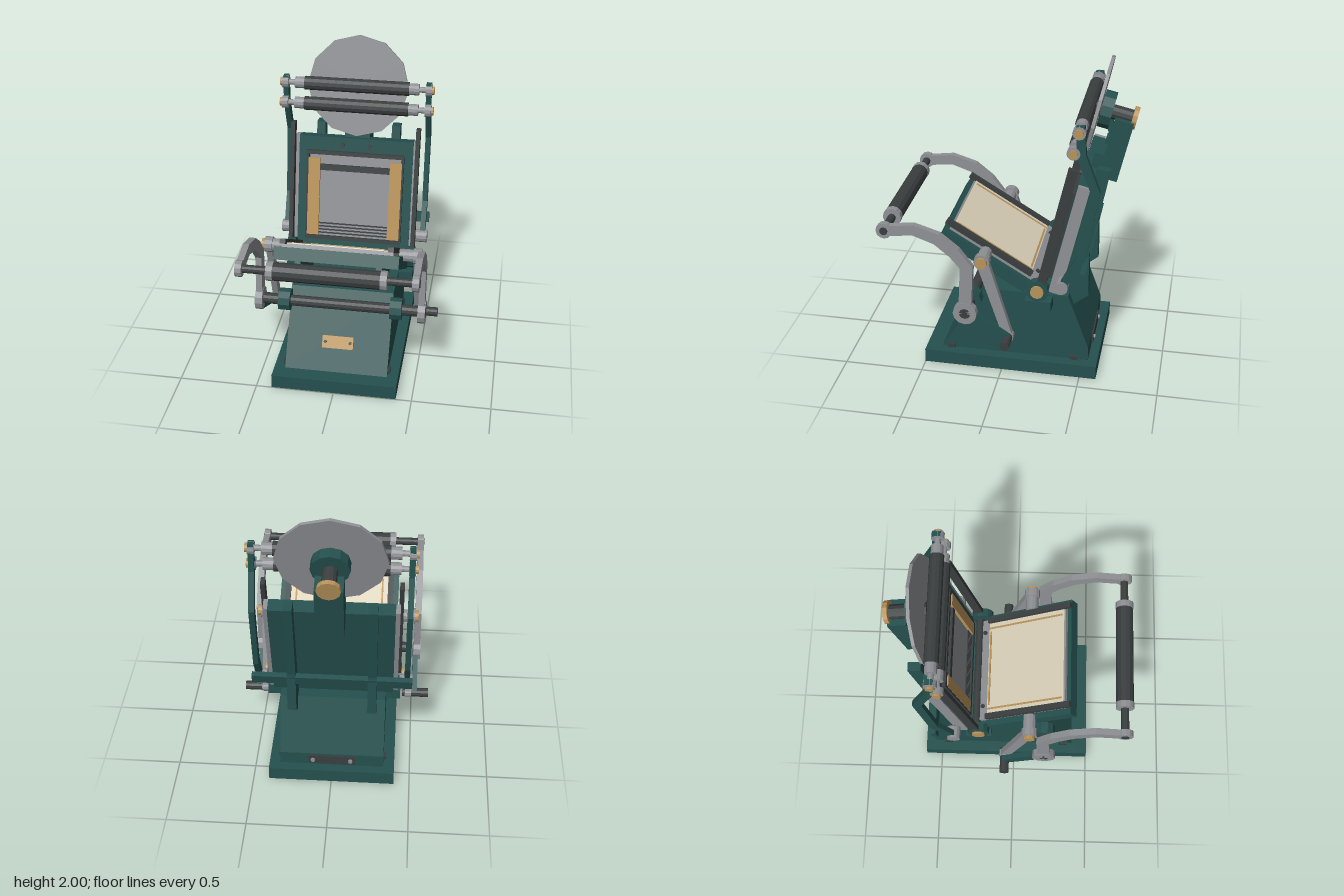
import * as THREE from 'three';

const mat = (name, color) => Object.assign(new THREE.MeshStandardMaterial({ color, flatShading: true }), { name });

export function createModel() {
  const green = mat('green enamel', 0x24504e);
  const dark = mat('dark iron', 0x3a3e3f);
  const steel = mat('steel', 0x8f9195);
  const brass = mat('brass', 0xb8935a);
  const cream = mat('cream paper', 0xdad1b9);

  const press = new THREE.Group();
  press.name = 'printingPress';

  const add = (parent, name, geo, material) => {
    const m = new THREE.Mesh(geo, material);
    m.name = name;
    parent.add(m);
    return m;
  };
  // box given by its limits on each axis
  const box = (parent, name, material, x0, x1, y0, y1, z0, z1) => {
    const m = add(parent, name, new THREE.BoxGeometry(Math.abs(x1 - x0), y1 - y0, z1 - z0), material);
    m.position.set((x0 + x1) / 2, (y0 + y1) / 2, (z0 + z1) / 2);
    return m;
  };
  // cylinder along x
  const rod = (parent, name, material, x0, x1, y, z, r, sides = 12) => {
    const m = add(parent, name, new THREE.CylinderGeometry(r, r, Math.abs(x1 - x0), sides), material);
    m.rotation.z = Math.PI / 2;
    m.position.set((x0 + x1) / 2, y, z);
    return m;
  };
  // cylinder along z
  const disc = (parent, name, material, x, y, z0, z1, r, sides = 12) => {
    const m = add(parent, name, new THREE.CylinderGeometry(r, r, z1 - z0, sides), material);
    m.rotation.x = Math.PI / 2;
    m.position.set(x, y, (z0 + z1) / 2);
    return m;
  };
  // side profile of [z, y] points, extruded from x0 to x1
  const slab = (parent, name, material, pts, x0, x1) => {
    const shape = new THREE.Shape(pts.map(([z, y]) => new THREE.Vector2(-z, y)));
    const geo = new THREE.ExtrudeGeometry(shape, { depth: Math.abs(x1 - x0), bevelEnabled: false });
    geo.rotateY(Math.PI / 2);
    geo.translate(Math.min(x0, x1), 0, 0);
    return add(parent, name, geo, material);
  };
  // flat bar following a [z, y] path, with a width at each point
  const bar = (parent, name, material, path, widths, x0, x1) => {
    const a = [], b = [];
    path.forEach(([z, y], i) => {
      const p = path[Math.max(i - 1, 0)], q = path[Math.min(i + 1, path.length - 1)];
      const len = Math.hypot(q[0] - p[0], q[1] - p[1]);
      const w = (widths[i] ?? widths[0]) / 2;
      const nz = -(q[1] - p[1]) / len * w, ny = (q[0] - p[0]) / len * w;
      a.push([z + nz, y + ny]);
      b.unshift([z - nz, y - ny]);
    });
    return slab(parent, name, material, [...a, ...b], x0, x1);
  };

  // base and body
  box(press, 'basePlate', green, -0.4, 0.4, 0, 0.09, -0.605, 0.5);
  slab(press, 'body', green,
    [[0.4, 0.09], [0.12, 0.545], [-0.41, 0.545], [-0.545, 0.18], [-0.545, 0.09]], -0.33, 0.33);
  const plate = new THREE.Group();
  plate.name = 'namePlate';
  plate.position.set(0, 0.255, 0.302);
  plate.rotation.x = -0.552;
  press.add(plate);
  box(plate, 'brassPlate', brass, -0.1, 0.1, -0.04, 0.04, 0, 0.018);
  for (const s of [-1, 1]) disc(plate, 'plateScrew', dark, s * 0.08, 0, 0.016, 0.024, 0.01, 8);
  box(press, 'rearPlate', dark, -0.15, 0.15, 0.105, 0.17, -0.555, -0.54);
  for (const s of [-1, 1]) {
    disc(press, 'rearScrew', steel, s * 0.12, 0.138, -0.567, -0.555, 0.014, 8);
    box(press, 'frontFoot', dark, s * 0.24, s * 0.36, -0.002, 0.01, 0.35, 0.46);
    for (const z of [0.34, -0.455]) box(press, 'bodyBolt', dark, s * 0.315, s * 0.345, 0.09, 0.115, z - 0.025, z + 0.025);
    box(press, 'hingeBlock', green, s * 0.33, s * 0.42, 0.475, 0.54, -0.315, -0.15);
    rod(press, 'hingeBoss', green, s * 0.37, s * 0.425, 0.615, -0.23, 0.07);
    rod(press, 'hingeCap', brass, s * 0.42, s * 0.44, 0.615, -0.23, 0.042);
  }
  rod(press, 'hingeShaft', dark, -0.4, 0.4, 0.615, -0.245, 0.026);

  // type bed, leaning back: local y runs up the bed, local z is its facing
  const bed = new THREE.Group();
  bed.name = 'typeBed';
  bed.position.set(0, 0.615, -0.23);
  bed.rotation.x = -0.226;
  press.add(bed);
  box(bed, 'bedBlock', green, -0.375, 0.375, 0, 0.755, -0.15, -0.06);
  box(bed, 'formPlate', steel, -0.3, 0.3, 0.08, 0.65, -0.06, -0.053);
  box(bed, 'chaseTop', dark, -0.315, 0.315, 0.64, 0.665, -0.06, -0.035);
  box(bed, 'chaseBottom', dark, -0.315, 0.315, 0.06, 0.085, -0.06, -0.035);
  box(bed, 'quoinBar', dark, -0.23, 0.23, 0.535, 0.575, -0.055, -0.038);
  for (let i = 0; i < 4; i++) box(bed, 'typeLine', dark, -0.23, 0.23, 0.1 + i * 0.022, 0.108 + i * 0.022, -0.055, -0.045);
  for (const s of [-1, 1]) {
    box(bed, 'chaseSide', dark, s * 0.305, s * 0.32, 0.06, 0.665, -0.06, -0.035);
    box(bed, 'furniture', brass, s * 0.23, s * 0.308, 0.09, 0.615, -0.055, -0.034);
    disc(bed, 'bedBolt', dark, s * 0.09, 0.705, -0.06, -0.045, 0.016, 8);
    box(bed, 'rollerRail', dark, s * 0.393, s * 0.42, 0.05, 0.858, -0.04, 0.017);
    box(bed, 'railBacking', steel, s * 0.375, s * 0.402, 0.01, 0.757, -0.138, -0.065);
    // back ribs, flaring into feet
    slab(press, 'backRib', green,
      [[-0.556, 1.40], [-0.635, 1.39], [-0.525, 0.82], [-0.53, 0.535], [-0.425, 0.45], [-0.33, 0.53], [-0.38, 0.7]],
      s * 0.22, s * 0.275);
  }
  box(bed, 'crossBar', green, -0.49, 0.49, 0.18, 0.245, -0.25, -0.215);

  // ink disc with its bearing
  disc(bed, 'inkDisc', steel, 0, 1.104, -0.06, -0.04, 0.327);
  disc(bed, 'discBolt', dark, 0, 1.104, -0.04, -0.028, 0.045);
  disc(bed, 'discHub', green, 0, 1.108, -0.135, -0.065, 0.115);
  disc(bed, 'discShaft', dark, 0, 1.104, -0.265, -0.06, 0.045);
  disc(bed, 'shaftCap', brass, 0, 1.104, -0.287, -0.258, 0.07);
  box(bed, 'discBracket', green, -0.083, 0.083, 0.7, 1.092, -0.277, -0.16);
  box(bed, 'bracketNeck', green, -0.083, 0.083, 0.6, 0.85, -0.17, -0.1);

  // ink rollers on swinging arms
  for (const [z, y] of [[-0.47, 1.705], [-0.44, 1.577]]) {
    rod(press, 'inkRoller', dark, -0.335, 0.335, y, z, 0.044);
    rod(press, 'rollerSpindle', steel, -0.48, 0.48, y, z, 0.018);
    for (const s of [-1, 1]) {
      rod(press, 'rollerTruck', steel, s * 0.335, s * 0.398, y, z, 0.037);
      rod(press, 'spindleCollar', steel, s * 0.44, s * 0.48, y, z, 0.04);
      rod(press, 'spindleCap', brass, s * 0.48, s * 0.495, y, z, 0.027);
    }
  }
  rod(press, 'armShaft', dark, -0.47, 0.47, 0.69, -0.385, 0.02);
  for (const s of [-1, 1]) {
    bar(press, 'rollerArm', green,
      [[-0.476, 1.745], [-0.487, 1.56], [-0.572, 1.34], [-0.5, 0.9], [-0.385, 0.69]],
      [0.05, 0.055, 0.055, 0.055, 0.045], s * 0.442, s * 0.475);
    rod(press, 'armPivot', steel, s * 0.41, s * 0.49, 0.69, -0.385, 0.042);
  }

  // platen, sloping up to the front: local z runs along it, local y is its facing
  const platen = new THREE.Group();
  platen.name = 'platen';
  platen.position.set(0, 0.577, -0.14);
  platen.rotation.x = -0.543;
  press.add(platen);
  box(platen, 'platenBlock', green, -0.385, 0.385, 0, 0.08, 0, 0.625);
  box(platen, 'platenSheet', steel, -0.345, 0.345, 0.08, 0.104, -0.035, 0.598);
  box(platen, 'paper', cream, -0.315, 0.315, 0.104, 0.11, 0.022, 0.588);
  box(platen, 'gaugeLine', brass, -0.255, 0.255, 0.11, 0.114, 0.03, 0.042);
  for (const s of [-1, 1]) {
    box(platen, 'gaugeStrip', brass, s * 0.274, s * 0.285, 0.11, 0.114, 0.025, 0.575);
    box(platen, 'tympanBail', dark, s * 0.315, s * 0.35, 0.1, 0.131, 0.02, 0.64);
    const b = add(platen, 'sheetBolt', new THREE.CylinderGeometry(0.014, 0.014, 0.012, 8), dark);
    b.position.set(s * 0.255, 0.11, -0.012);
    box(platen, 'platenRib', green, s * 0.235, s * 0.272, -0.035, 0, 0.0, 0.5);
    rod(press, 'linkPin', steel, s * 0.36, s * 0.5, 0.825, 0.1, 0.04);
  }

  // handle, rocker shaft, cranks and links
  rod(press, 'rockerShaft', dark, -0.545, 0.545, 0.48, 0.2, 0.035);
  rod(press, 'handleBar', dark, -0.545, 0.545, 1.005, 0.69, 0.025);
  rod(press, 'handleGrip', dark, -0.315, 0.315, 1.005, 0.69, 0.055);
  for (const s of [-1, 1]) {
    rod(press, 'gripCollar', steel, s * 0.315, s * 0.355, 1.005, 0.69, 0.058);
    rod(press, 'shaftBearing', green, s * 0.32, s * 0.395, 0.485, 0.2, 0.073, 10);
    bar(press, 'handleArm', steel,
      [[0.2, 0.48], [0.185, 0.8], [0.26, 0.895], [0.365, 0.98], [0.51, 1.027], [0.69, 1.005]],
      [0.08, 0.08, 0.075, 0.075, 0.07, 0.065], s * 0.5, s * 0.54);
    rod(press, 'handleEnd', steel, s * 0.5, s * 0.54, 1.005, 0.69, 0.05);
    rod(press, 'armHub', steel, s * 0.498, s * 0.545, 0.48, 0.2, 0.075);
    bar(press, 'crank', green, [[0.2, 0.46], [-0.06, 0.31]], [0.1, 0.065], s * 0.496, s * 0.53);
    rod(press, 'crankPin', dark, s * 0.435, s * 0.605, 0.31, -0.06, 0.03);
    bar(press, 'link', steel, [[0.1, 0.825], [-0.06, 0.31]], [0.075, 0.06], s * 0.452, s * 0.49);
    rod(press, 'linkTop', steel, s * 0.45, s * 0.5, 0.825, 0.1, 0.05);
    rod(press, 'linkFoot', steel, s * 0.452, s * 0.494, 0.31, -0.06, 0.036);
    rod(press, 'linkCap', brass, s * 0.5, s * 0.52, 0.825, 0.1, 0.036);
  }
  return press;
}
